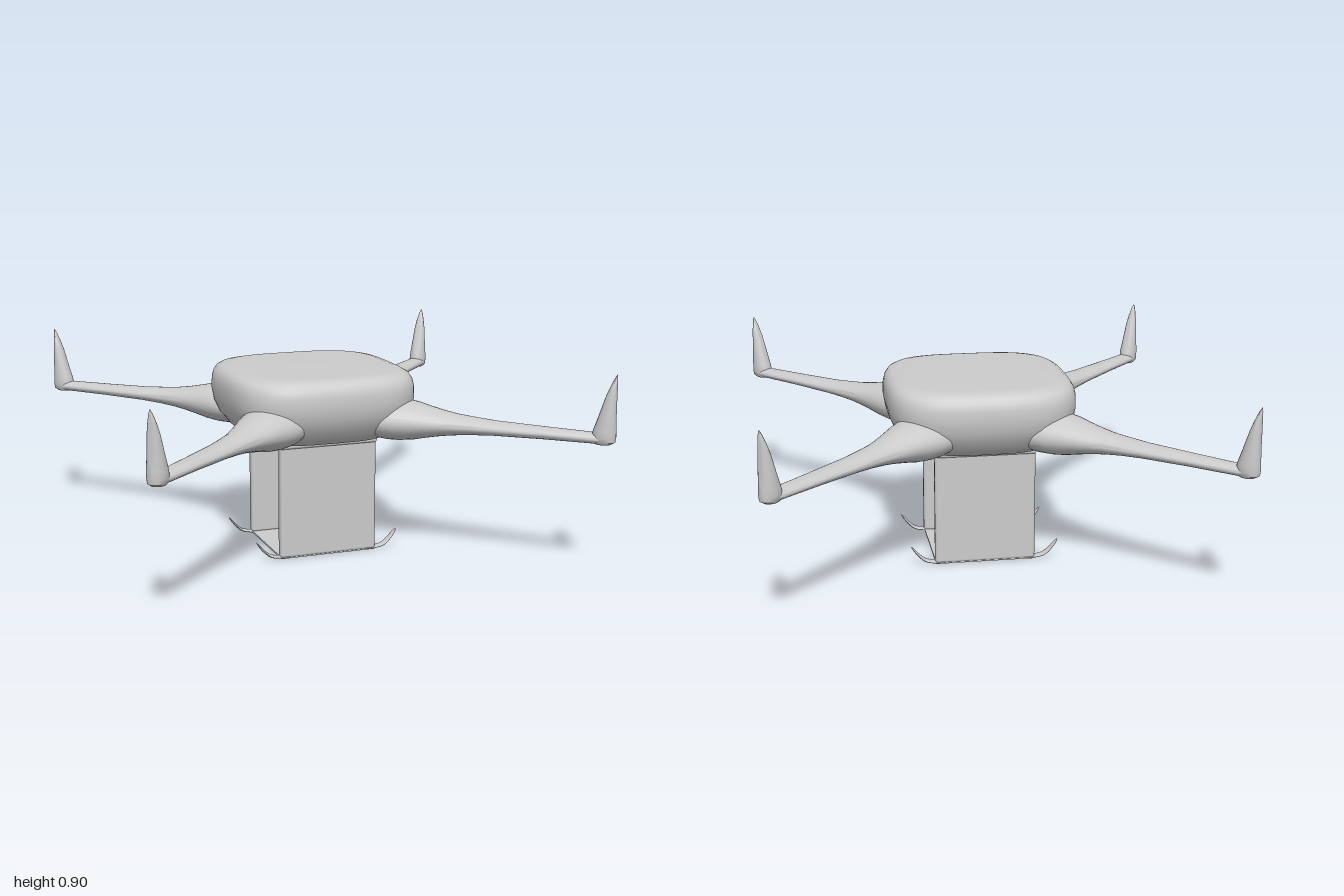
import * as THREE from 'three';
import { RoundedBoxGeometry } from 'three/addons/geometries/RoundedBoxGeometry.js';
import { toCreasedNormals } from 'three/addons/utils/BufferGeometryUtils.js';

const grey = new THREE.MeshStandardMaterial({ color: 0xcccccc });
const V = (x, y, z) => new THREE.Vector3(x, y, z);

// Skin over rings {c, u, v}: centre and two half axes, advancing along u x v; n = superellipse power
function loft(rings, sides, n = 2) {
  const pos = [], index = [];
  const power = (t) => Math.sign(t) * Math.abs(t) ** (2 / n);
  for (const { c, u, v } of rings) {
    for (let j = 0; j < sides; j++) {
      const a = (j / sides) * Math.PI * 2;
      const p = c.clone().addScaledVector(u, power(Math.cos(a))).addScaledVector(v, power(Math.sin(a)));
      pos.push(p.x, p.y, p.z);
    }
  }
  for (let i = 0; i < rings.length - 1; i++) {
    for (let j = 0; j < sides; j++) {
      const k = (j + 1) % sides, a = i * sides, b = a + sides;
      index.push(a + j, a + k, b + j, a + k, b + k, b + j);
    }
  }
  const g = new THREE.BufferGeometry();
  g.setAttribute('position', new THREE.Float32BufferAttribute(pos, 3));
  g.setIndex(index);
  return toCreasedNormals(g, 0.7);
}

function add(parent, name, geometry) {
  const m = new THREE.Mesh(geometry, grey);
  m.name = name;
  parent.add(m);
  return m;
}

export function createModel() {
  const model = new THREE.Group();
  model.name = 'drone';

  // Rounded-square body: [half width, height]
  const profile = [
    [0, 0.52], [0.24, 0.52], [0.3, 0.53], [0.35, 0.56], [0.39, 0.61], [0.412, 0.66], [0.421, 0.71],
    [0.42, 0.76], [0.413, 0.79], [0.4, 0.81], [0.38, 0.822], [0.35, 0.829], [0.32, 0.83], [0, 0.83],
  ];
  add(model, 'body', loft(profile.map(([r, y]) => ({ c: V(0, y, 0), u: V(0, 0, r), v: V(r, 0, 0) })), 72, 3.4));

  // Arm stations: [distance, centre height, half width, half height]
  const armGeo = loft([
    [0.34, 0.62, 0, 0], [0.34, 0.62, 0.15, 0.085], [0.4, 0.62, 0.152, 0.09], [0.45, 0.62, 0.142, 0.09],
    [0.51, 0.62, 0.125, 0.083], [0.57, 0.62, 0.108, 0.069], [0.64, 0.62, 0.09, 0.055],
    [0.7, 0.62, 0.076, 0.046], [0.78, 0.621, 0.068, 0.038], [0.88, 0.621, 0.061, 0.031],
    [1.1, 0.622, 0.05, 0.026], [1.32, 0.622, 0.042, 0.023], [1.36, 0.622, 0.034, 0.018], [1.36, 0.622, 0, 0],
  ].map(([d, y, w, h]) => ({ c: V(d, y, 0), u: V(0, h, 0), v: V(0, 0, w) })), 32);

  // Upturned tip stations: [height, centre distance, half length, half width]
  const tipGeo = loft([
    [0.597, 1.345, 0, 0], [0.599, 1.347, 0.035, 0.028], [0.61, 1.35, 0.05, 0.038], [0.63, 1.35, 0.052, 0.041],
    [0.66, 1.353, 0.048, 0.04], [0.72, 1.362, 0.037, 0.034], [0.8, 1.374, 0.024, 0.026],
    [0.84, 1.382, 0.016, 0.019], [0.88, 1.391, 0.007, 0.009], [0.9, 1.396, 0, 0],
  ].map(([y, d, l, w]) => ({ c: V(d, y, 0), u: V(0, 0, w), v: V(l, 0, 0) })), 24);

  for (let i = 0; i < 4; i++) {
    const arm = new THREE.Group();
    arm.name = 'armAssembly';
    add(arm, 'arm', armGeo);
    add(arm, 'upturnedTip', tipGeo);
    arm.rotation.y = Math.PI / 4 + (i * Math.PI) / 2;
    model.add(arm);
  }

  // Curled skid end, a flat strip swept along a curve
  const curve = new THREE.CatmullRomCurve3([
    V(0.18, 0.006, 0), V(0.23, 0.007, 0), V(0.27, 0.016, 0), V(0.3, 0.04, 0), V(0.337, 0.085, 0),
  ]);
  const skidRings = [];
  for (let i = 0; i <= 20; i++) {
    const t = i / 20, c = curve.getPoint(t), d = curve.getTangent(t);
    const end = Math.sqrt(Math.max(0, 1 - t ** 6));
    skidRings.push({ c, u: V(-d.y, d.x, 0).multiplyScalar(0.006 * end), v: V(0, 0, 0.021 * end) });
  }
  const skidGeo = loft(skidRings, 16);

  // Two leg panels with skid ends, front and back
  const panelGeo = new RoundedBoxGeometry(0.455, 0.53, 0.044, 4, 0.014);
  const collarGeo = new RoundedBoxGeometry(0.46, 0.03, 0.056, 3, 0.012);
  for (const s of [1, -1]) {
    const leg = new THREE.Group();
    leg.name = s > 0 ? 'frontLeg' : 'backLeg';
    add(leg, 'legPanel', panelGeo).position.y = 0.268;
    add(leg, 'legCollar', collarGeo).position.y = 0.518;
    add(leg, 'leftSkidEnd', skidGeo);
    add(leg, 'rightSkidEnd', skidGeo).rotation.y = Math.PI;
    leg.position.z = s * 0.212;
    model.add(leg);
  }

  // Thin plate joining the feet
  add(model, 'basePlate', new THREE.BoxGeometry(0.45, 0.008, 0.46)).position.y = 0.005;

  return model;
}
